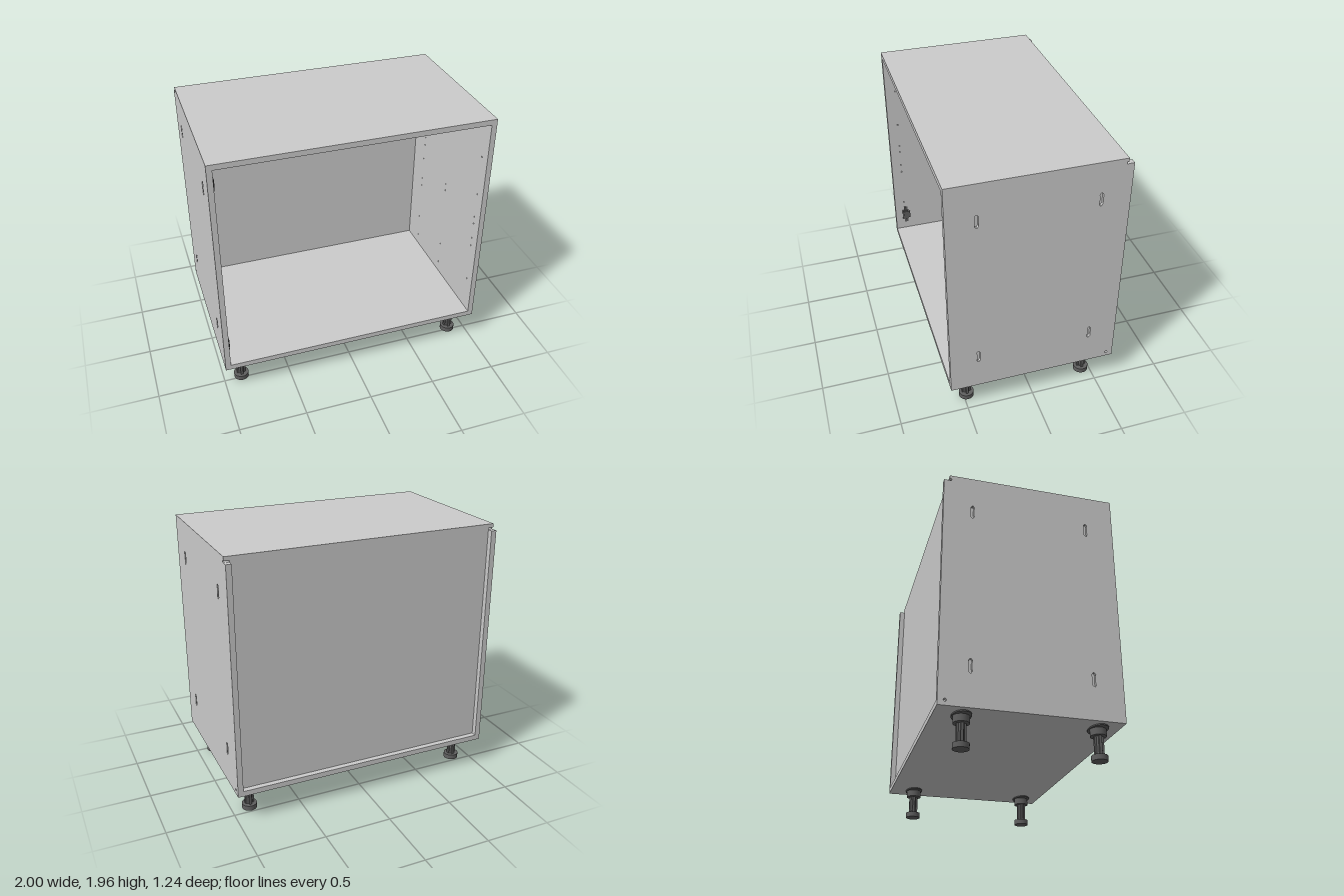
import * as THREE from 'three';

const GREY = new THREE.MeshStandardMaterial({ color: 0xcccccc });
const DARK = new THREE.MeshStandardMaterial({ color: 0x606060 });

const Y0 = 0.225, Y1 = 1.96, Z0 = -0.62, Z1 = 0.62, T = 0.04;
const BACK = -0.58; // back edge of the top and outer face of the back panel

function add(parent, name, geometry, material, x = 0, y = 0, z = 0) {
  const mesh = new THREE.Mesh(geometry, material);
  mesh.name = name;
  mesh.position.set(x, y, z);
  parent.add(mesh);
  return mesh;
}

// Box given by its lower and upper corners
function addBox(parent, name, material, a, b) {
  const size = b.map((v, i) => v - a[i]);
  return add(parent, name, new THREE.BoxGeometry(...size), material,
    ...b.map((v, i) => (v + a[i]) / 2));
}

function roundHole(z, y, r) {
  return new THREE.Path().absarc(z, y, r, 0, Math.PI * 2, true);
}

// Tall slot with tapered ends
function slotHole(z, y) {
  const w = 0.013, h = 0.05;
  return new THREE.Path([
    [-w, -0.037], [-0.004, -h], [0.005, -h], [w, -0.037],
    [0.009, -0.02], [0.009, 0.02], [w, 0.037], [0.005, h], [-0.004, h], [-w, 0.037],
  ].map(([dz, dy]) => new THREE.Vector2(z + dz, y + dy)));
}

// One layer of a side panel, outlined in z and y, with a relieved notch at the top back
function sideLayer(depth, holes) {
  const shape = new THREE.Shape();
  shape.moveTo(Z0, Y0);
  shape.lineTo(Z1, Y0);
  shape.lineTo(Z1, Y1);
  shape.lineTo(BACK, Y1);
  shape.lineTo(BACK, 1.933);
  shape.absarc(-0.574, 1.926, 0.009, Math.PI * 0.73, -Math.PI * 0.73, true);
  shape.lineTo(BACK, 1.919);
  shape.lineTo(Z0, 1.919);
  shape.closePath();
  shape.holes = holes;
  const g = new THREE.ExtrudeGeometry(shape, { depth, bevelEnabled: false, curveSegments: 6 });
  return g.rotateY(-Math.PI / 2); // shape x becomes z, thickness runs toward -x
}

function addSide(parent, name, s) {
  const side = new THREE.Group();
  side.name = name;
  const slots = [roundHole(-0.572, 0.262, 0.01)];
  for (const z of [-0.414, 0.414]) for (const y of [0.51, 1.68]) slots.push(slotHole(z, y));
  const pinRows = [
    [0.54, [1.63, 1.32, 1.12, 1.06, 0.93, 0.86, 0.54]],
    [0.05, [1.12, 1.06, 0.54, 0.35]],
    [-0.375, [1.32, 1.25, 1.12, 0.93, 0.86, 0.54, 0.35]],
  ];
  const pins = pinRows.flatMap(([z, ys]) => ys.map((y) => roundHole(z, y, 0.006)));
  const half = T / 2;
  add(side, 'outerLayer', sideLayer(half, slots), GREY, s > 0 ? 1 : -1 + half);
  add(side, 'innerLayer', sideLayer(half, pins), GREY, s > 0 ? 1 - half : -1 + T);
  parent.add(side);
}

// Stem with four ribs around a core
function stemGeometry(height) {
  const pts = [];
  for (let i = 0; i < 4; i++) {
    for (const [r, a] of [[0.034, -0.28], [0.034, 0.28], [0.022, 0.45], [0.022, 1.12]]) {
      const t = a + i * Math.PI / 2;
      pts.push(new THREE.Vector2(r * Math.cos(t), r * Math.sin(t)));
    }
  }
  return new THREE.ExtrudeGeometry(new THREE.Shape(pts), { depth: height, bevelEnabled: false })
    .rotateX(-Math.PI / 2);
}

function createLeg(x, z) {
  const leg = new THREE.Group();
  leg.name = 'leg';
  const disc = (r, h) => new THREE.CylinderGeometry(r, r, h, 32);
  add(leg, 'foot', disc(0.055, 0.038), DARK, 0, 0.019, 0);
  add(leg, 'stem', stemGeometry(0.15), DARK, 0, 0.03, 0);
  add(leg, 'collar', disc(0.055, 0.05), DARK, 0, 0.194, 0);
  add(leg, 'mountingPlate', disc(0.065, 0.008).scale(1.5, 1, 1), DARK, 0, 0.221, 0);
  leg.position.set(x, 0, z);
  return leg;
}

// Hinge base screwed to the inner face of the right side
function createHingePlate(y) {
  const hinge = new THREE.Group();
  hinge.name = 'hingePlate';
  addBox(hinge, 'wings', DARK, [0, -0.08, -0.015], [0.005, 0.08, 0.015]);
  addBox(hinge, 'base', DARK, [0, -0.045, -0.022], [0.012, 0.045, 0.03]);
  addBox(hinge, 'rail', DARK, [0.01, -0.03, -0.035], [0.016, 0.035, 0.02]);
  for (const sy of [-0.062, 0.062]) {
    const screw = add(hinge, 'screw', new THREE.CylinderGeometry(0.01, 0.01, 0.007, 12), DARK, 0.0045, sy, 0);
    screw.rotation.z = Math.PI / 2;
  }
  hinge.position.set(-1 + T, y, 0.53);
  return hinge;
}

export function createModel() {
  const model = new THREE.Group();
  model.name = 'cabinet';

  // Carcass
  const inner = 1 - T;
  addSide(model, 'leftSide', 1);
  addSide(model, 'rightSide', -1);
  addBox(model, 'topPanel', GREY, [-inner, Y1 - T, BACK], [inner, Y1, Z1]);
  addBox(model, 'bottomPanel', GREY, [-inner, Y0, Z0], [inner, Y0 + T, Z1]);
  addBox(model, 'backPanel', GREY, [-inner, Y0 + T, BACK], [inner, Y1 - T, BACK + 0.02]);

  // Fittings
  for (const y of [0.41, 1.775]) model.add(createHingePlate(y));
  for (const x of [-0.865, 0.865]) for (const z of [-0.437, 0.477]) model.add(createLeg(x, z));

  return model;
}
